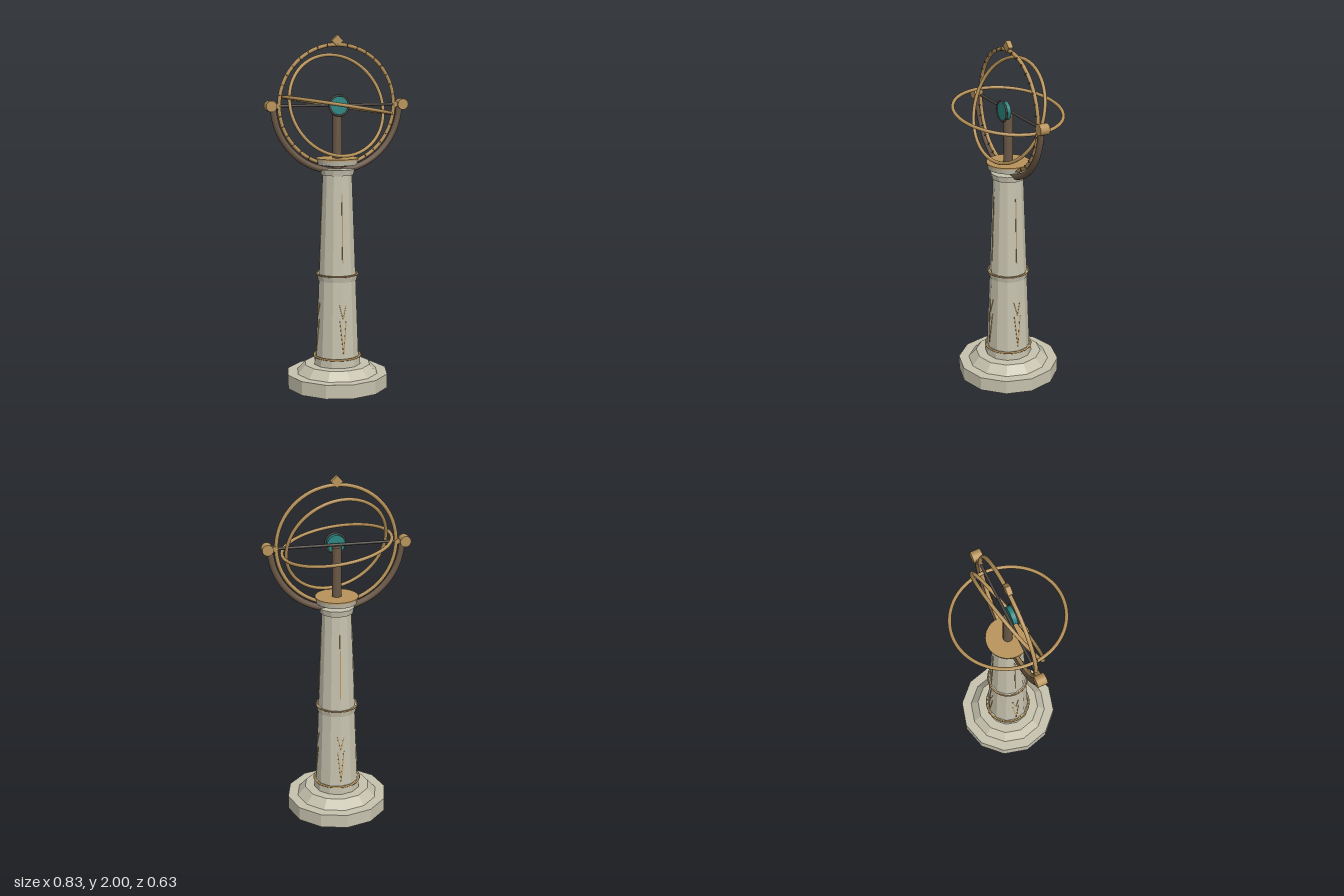
import * as THREE from 'three';

export function createModel() {
  const model = new THREE.Group();
  const mat = (name, color, flatShading = false) => {
    const m = new THREE.MeshStandardMaterial({ color, flatShading });
    m.name = name;
    return m;
  };
  const stone = mat('pale stone', 0xc6c2ae, true);
  const gold = mat('aged gold', 0xb8935a);
  const bronze = mat('dark bronze', 0x6a5746);
  const iron = mat('dark iron', 0x4a443e);
  const teal = mat('teal glass', 0x2a8582);

  const add = (name, geometry, material, x = 0, y = 0, z = 0, parent = model) => {
    const mesh = new THREE.Mesh(geometry, material);
    mesh.name = name;
    mesh.position.set(x, y, z);
    parent.add(mesh);
    return mesh;
  };
  // Upright tapered drum between two heights
  const drum = (name, rTop, rBottom, y0, y1, sides, material) =>
    add(name, new THREE.CylinderGeometry(rTop, rBottom, y1 - y0, sides), material, 0, (y0 + y1) / 2);
  // Hoop whose plane faces the given normal
  const hoop = (name, radius, tube, y, normal, material = gold) => {
    const mesh = add(name, new THREE.TorusGeometry(radius, tube, 8, 72), material, 0, y);
    mesh.quaternion.setFromUnitVectors(new THREE.Vector3(0, 0, 1), new THREE.Vector3(...normal).normalize());
    return mesh;
  };

  // Plinth and tapering column
  const colR = y => 0.127 - (y - 0.13) * 0.038;
  drum('plinth', 0.293, 0.293, 0, 0.08, 12, stone);
  drum('plinthStep', 0.19, 0.235, 0.08, 0.13, 12, stone);
  drum('column', colR(1.23), colR(0.13), 0.13, 1.23, 12, stone);
  drum('lowerCollar', 0.133, 0.135, 0.13, 0.18, 12, stone);
  drum('middleCollar', 0.119, 0.112, 0.62, 0.655, 12, stone);
  drum('upperCollar', 0.1, 0.094, 1.222, 1.255, 12, stone);
  hoop('lowerBand', 0.132, 0.006, 0.178, [0, 1, 0]);
  hoop('middleBand', 0.117, 0.005, 0.655, [0, 1, 0]);

  // Floating cap with a gold plate, and the post above it
  drum('cap', 0.12, 0.114, 1.28, 1.31, 24, stone);
  drum('capPlate', 0.122, 0.122, 1.308, 1.316, 32, gold);
  drum('post', 0.027, 0.027, 1.25, 1.6, 16, bronze);

  // Thin inlays on the four sides of the column: a long line and two V shapes
  const strokes = [
    [0, 0.73, 0, 1.12],
    [0, 0.21, 0.018, 0.4], [0, 0.21, -0.018, 0.4],
    [0, 0.41, 0.019, 0.49], [0, 0.41, -0.019, 0.49],
  ];
  for (let i = 0; i < 4; i++) {
    const side = new THREE.Group();
    side.name = 'columnInlay';
    side.rotation.y = i * Math.PI / 2;
    for (const [x0, y0, x1, y1] of strokes) {
      const at = (x, y) => new THREE.Vector3(x, y, colR(y) - Math.abs(x) * Math.tan(Math.PI / 12));
      const a = at(x0, y0), b = at(x1, y1), d = b.clone().sub(a);
      const bar = add('inlayStroke', new THREE.BoxGeometry(0.005, d.length(), 0.004), gold, 0, 0, 0, side);
      bar.position.copy(a).add(b).multiplyScalar(0.5);
      bar.quaternion.setFromUnitVectors(new THREE.Vector3(0, 1, 0), d.normalize());
    }
    model.add(side);
  }

  // Half-ring cradle, axle and end knobs
  const cy = 1.612;
  const cradle = add('cradle', new THREE.TorusGeometry(0.368, 0.018, 10, 48, Math.PI), bronze, 0, cy);
  cradle.rotation.z = Math.PI;
  const axle = add('axle', new THREE.CylinderGeometry(0.008, 0.008, 0.74, 10), iron, 0, cy);
  axle.rotation.z = Math.PI / 2;
  for (const s of [-1, 1]) {
    const knob = add('axleKnob', new THREE.CylinderGeometry(0.031, 0.031, 0.056, 16), gold, s * 0.384, cy);
    knob.rotation.x = Math.PI / 2;
    add('knobSocket', new THREE.BoxGeometry(0.04, 0.024, 0.03), gold, s * 0.36, cy);
  }

  // Three hoops at different tilts
  hoop('meridianRing', 0.335, 0.011, cy, [0, 0, 1]);
  hoop('tiltedRing', 0.2925, 0.01, cy, [0.17, 0.32, 0.93]);
  hoop('horizonRing', 0.304, 0.01, cy, [0.16, 0.98, -0.022]);

  // Tick marks and diamonds on the meridian ring
  for (let i = 0; i < 36; i++) {
    const a = i * Math.PI / 18;
    const tick = add('tick', new THREE.BoxGeometry(0.015, 0.006, 0.006), bronze,
      Math.cos(a) * 0.335, cy + Math.sin(a) * 0.335, 0.011);
    tick.rotation.z = a;
  }
  const diamond = (name, x, y, size, depth) => {
    add(name, new THREE.BoxGeometry(size, size, depth), gold, x, y).rotation.z = Math.PI / 4;
  };
  diamond('topDiamond', 0, 1.967, 0.047, 0.028);
  diamond('bottomDiamond', 0, cy - 0.337, 0.024, 0.026);
  for (const s of [-1, 1]) diamond('sideDiamond', s * 0.342, cy, 0.026, 0.026);

  // Central lens with a dark rim
  const lens = add('lens', new THREE.CylinderGeometry(0.051, 0.051, 0.032, 24), teal, 0, cy, 0.024);
  lens.rotation.x = Math.PI / 2;
  add('lensRim', new THREE.TorusGeometry(0.056, 0.006, 8, 32), iron, 0, cy, 0.038);

  return model;
}
